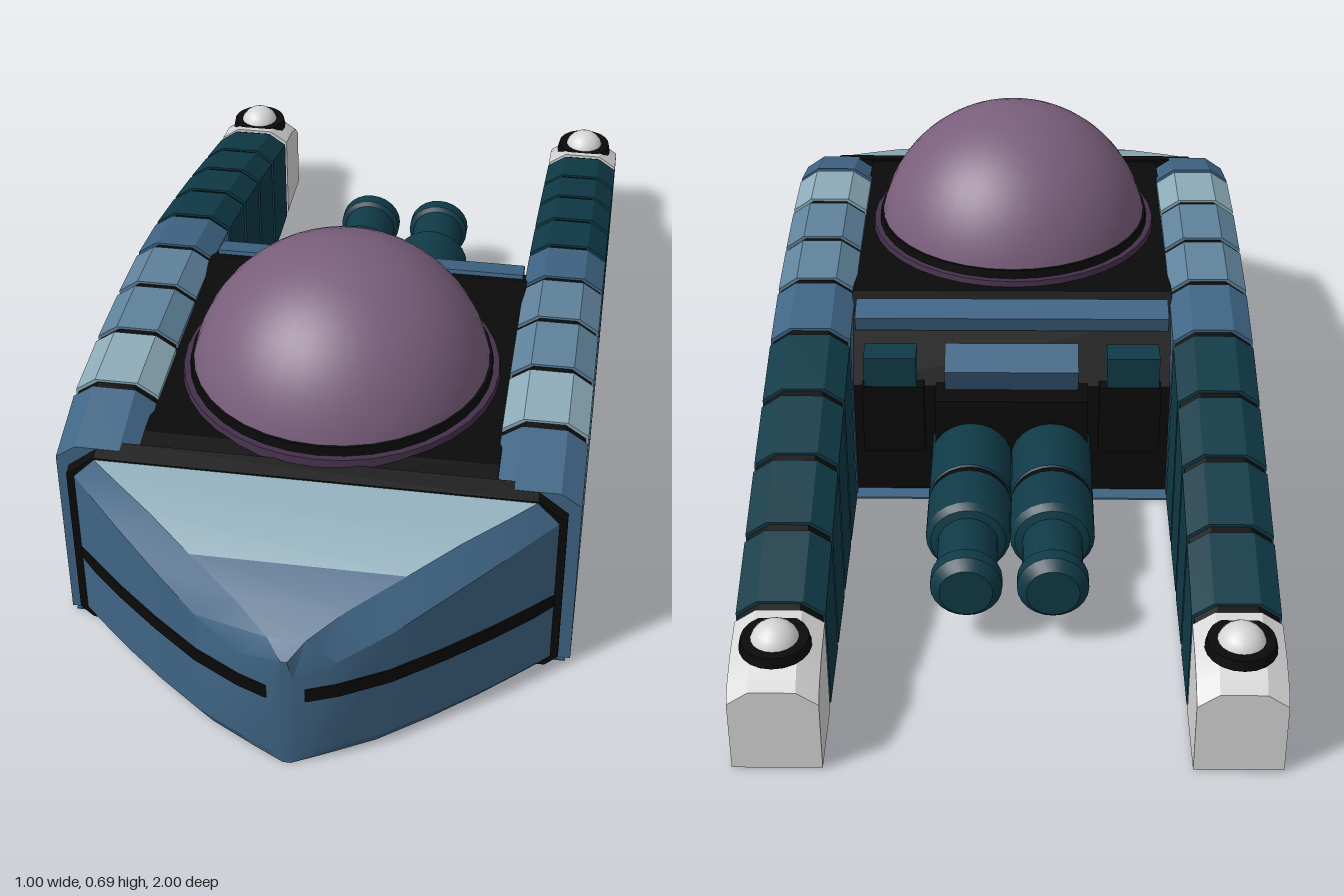
import * as THREE from 'three';
import { toCreasedNormals } from 'three/addons/utils/BufferGeometryUtils.js';

const mat = (name, color) => {
  const m = new THREE.MeshStandardMaterial({ color });
  m.name = name;
  return m;
};

// Skin a row of rings (each counter-clockwise seen from +z, z falling from ring to ring).
// pick(section, side) returns the material slot of a face.
function loft(rings, pick = () => 0, slots = 1, crease = 0.45) {
  const buckets = Array.from({ length: slots }, () => []);
  const n = rings[0].length;
  const tri = (s, ...pts) => pts.forEach((p) => buckets[s].push(...p));
  for (let k = 0; k < rings.length - 1; k++) {
    for (let i = 0; i < n; i++) {
      const j = (i + 1) % n, a = rings[k], b = rings[k + 1];
      tri(pick(k, i), a[i], b[i], b[j]);
      tri(pick(k, i), a[i], b[j], a[j]);
    }
  }
  const f = rings[0], l = rings[rings.length - 1];
  for (let i = 1; i < n - 1; i++) {
    tri(0, f[0], f[i], f[i + 1]);
    tri(0, l[0], l[i + 1], l[i]);
  }
  const g = new THREE.BufferGeometry();
  g.setAttribute('position', new THREE.Float32BufferAttribute(buckets.flat(), 3));
  let start = 0;
  buckets.forEach((b, s) => { g.addGroup(start, b.length / 3, s); start += b.length / 3; });
  return toCreasedNormals(g, crease);
}

// Linear lookup in [z, value] pairs with falling z
function lookup(table, z) {
  for (let i = 0; i < table.length - 1; i++) {
    const [z0, v0] = table[i], [z1, v1] = table[i + 1];
    if (z >= z1) return v0 + (v1 - v0) * (z0 - z) / (z0 - z1);
  }
  return table[table.length - 1][1];
}

export function createModel() {
  const blue = mat('hull blue', 0x3f6484);
  const mid = mat('soft blue', 0x5f829b);
  const light = mat('pale blue', 0x8cabb8);
  const teal = mat('dark teal', 0x0f3a47);
  const white = mat('tip white', 0xd6d6d6);
  const black = mat('seam black', 0x0a0a0a);
  const purple = mat('dome purple', 0x7a5f7c);
  const plum = mat('ring plum', 0x44304a);

  const model = new THREE.Group();
  const add = (name, geo, material, x = 0, y = 0, z = 0, parent = model) => {
    const m = new THREE.Mesh(geo, material);
    m.name = name;
    m.position.set(x, y, z);
    parent.add(m);
    return m;
  };
  const box = (w, h, d) => new THREE.BoxGeometry(w, h, d);

  // Side booms: bevelled segments over a black core, ending in white tips
  const boomTop = [[0.66, 0.42], [0.51, 0.46], [0.34, 0.465], [0.17, 0.46], [0.005, 0.448], [-0.16, 0.42],
    [-0.33, 0.38], [-0.495, 0.338], [-0.66, 0.292], [-0.835, 0.243], [-0.92, 0.228], [-0.975, 0.205], [-1, 0.18]];
  const boomRing = (z, inset = 0) => {
    const w = 0.0825 - inset, y = lookup(boomTop, z) - inset, b = 0.04, d = 0.028;
    return [[-w, 0.004, z], [w, 0.004, z], [w, y - d, z], [w - b, y, z], [b - w, y, z], [-w, y - d, z]];
  };
  const segmentColours = [blue, light, mid, mid, blue, teal, teal, teal, teal];
  for (const s of [1, -1]) {
    const boom = new THREE.Group();
    boom.name = s > 0 ? 'leftBoom' : 'rightBoom';
    boom.position.x = s * 0.4175;
    model.add(boom);
    add('boomCore', loft(boomTop.slice(0, 10).map(([z]) => boomRing(z - 0.006, 0.005))), black, 0, 0, 0, boom);
    segmentColours.forEach((c, i) => {
      const z0 = boomTop[i][0] - (i ? 0.009 : 0), z1 = boomTop[i + 1][0] + 0.009;
      add('boomSegment', loft([boomRing(z0), boomRing(z1)]), c, 0, 0, 0, boom);
    });
    add('boomTip', loft([-0.845, -0.92, -0.975, -1].map((z) => boomRing(z))), white, 0, 0, 0, boom);
    add('lampRing', new THREE.CylinderGeometry(0.062, 0.066, 0.02, 20), black, 0, 0.228, -0.915, boom);
    add('lamp', new THREE.SphereGeometry(0.047, 20, 12), white, 0, 0.222, -0.915, boom);
  }

  // Nose: [z, half width, half width of top face, top height]
  const stations = [[1, 0.015, 0.006, 0.26], [0.97, 0.09, 0.035, 0.287], [0.92, 0.18, 0.1, 0.32],
    [0.85, 0.272, 0.2, 0.355], [0.78, 0.355, 0.29, 0.382], [0.72, 0.42, 0.37, 0.4], [0.68, 0.462, 0.42, 0.411]];
  const noseRing = ([z, w, t, y]) => {
    const b = Math.min(0.025, w * 0.5);
    return [[b - w, 0, z], [w - b, 0, z], [w, 0.025, z], [w, y - 0.045, z], [t, y, z],
      [-t, y, z], [-w, y - 0.045, z], [-w, 0.025, z]];
  };
  add('nose', loft(stations.map(noseRing), (k, i) => (k > 2 && i === 4 ? 1 : 0), 2), [blue, light]);
  add('noseSeam', loft([[0.681, 0.476, 0.42, 0.414], [0.64, 0.476, 0.42, 0.424]].map(noseRing)), black);

  // Dark groove around each side of the nose
  const noseWidth = stations.map(([z, w]) => [z, w]);
  for (const s of [1, -1]) {
    const rings = [0.992, 0.97, 0.92, 0.85, 0.78, 0.72, 0.675].map((z) => {
      const w = lookup(noseWidth, z);
      const xs = [s * (w + 0.005), s * (w - 0.02)].sort((a, b) => a - b);
      return [[xs[0], 0.157, z], [xs[1], 0.157, z], [xs[1], 0.188, z], [xs[0], 0.188, z]];
    });
    add('noseGroove', loft(rings), black);
  }

  // Central hull with a sloped back
  const side = new THREE.Shape([[0.66, 0.004], [0.66, 0.415], [0.6, 0.425], [0, 0.425], [-0.06, 0.405],
    [-0.13, 0.27], [-0.13, 0.004]].map((p) => new THREE.Vector2(...p)));
  const hull = new THREE.ExtrudeGeometry(side, { depth: 0.68, bevelEnabled: false });
  hull.rotateY(-Math.PI / 2);
  add('hull', hull, black, 0.34);
  add('bellyPlate', box(0.98, 0.004, 0.83), blue, 0, 0.002, 0.25);

  // Cockpit dome and its rings
  const dome = new THREE.SphereGeometry(0.3, 36, 16, 0, Math.PI * 2, 0, Math.PI / 2);
  add('dome', dome, purple, 0, 0.395, 0.335);
  add('domeSeal', new THREE.CylinderGeometry(0.299, 0.305, 0.045, 36), black, 0, 0.433, 0.335);
  add('domeRing', new THREE.CylinderGeometry(0.314, 0.32, 0.03, 36), plum, 0, 0.422, 0.335);

  // Rear trim
  add('rearBar', box(0.66, 0.035, 0.06), blue, 0, 0.4, -0.055).rotation.x = -0.25;
  add('rearBox', box(0.28, 0.07, 0.075), blue, 0, 0.315, -0.13).rotation.x = -0.4;
  add('engineMount', box(0.32, 0.24, 0.09), black, 0, 0.155, -0.155);
  for (const s of [1, -1]) {
    add('rearBlock', box(0.11, 0.07, 0.06), teal, s * 0.255, 0.32, -0.13);
    add('rearSidePanel', box(0.13, 0.16, 0.03), black, s * 0.25, 0.2, -0.14);
  }

  // Twin engines
  const profile = [[0, 0], [0.085, 0], [0.085, 0.2], [0.079, 0.205], [0.079, 0.215], [0.085, 0.22], [0.085, 0.33],
    [0.075, 0.345], [0.06, 0.35], [0.06, 0.455], [0.07, 0.462], [0.07, 0.49], [0.052, 0.51], [0, 0.51]];
  const engine = new THREE.LatheGeometry(profile.map((p) => new THREE.Vector2(...p)), 24);
  engine.rotateX(-Math.PI / 2);
  const engineGeo = toCreasedNormals(engine, 0.5);
  for (const s of [1, -1]) {
    add('engine', engineGeo, teal, s * 0.084, 0.135, -0.15);
    const band = new THREE.CylinderGeometry(0.082, 0.082, 0.012, 24);
    band.rotateX(Math.PI / 2);
    add('engineBand', band, black, s * 0.084, 0.135, -0.36);
  }
  return model;
}
